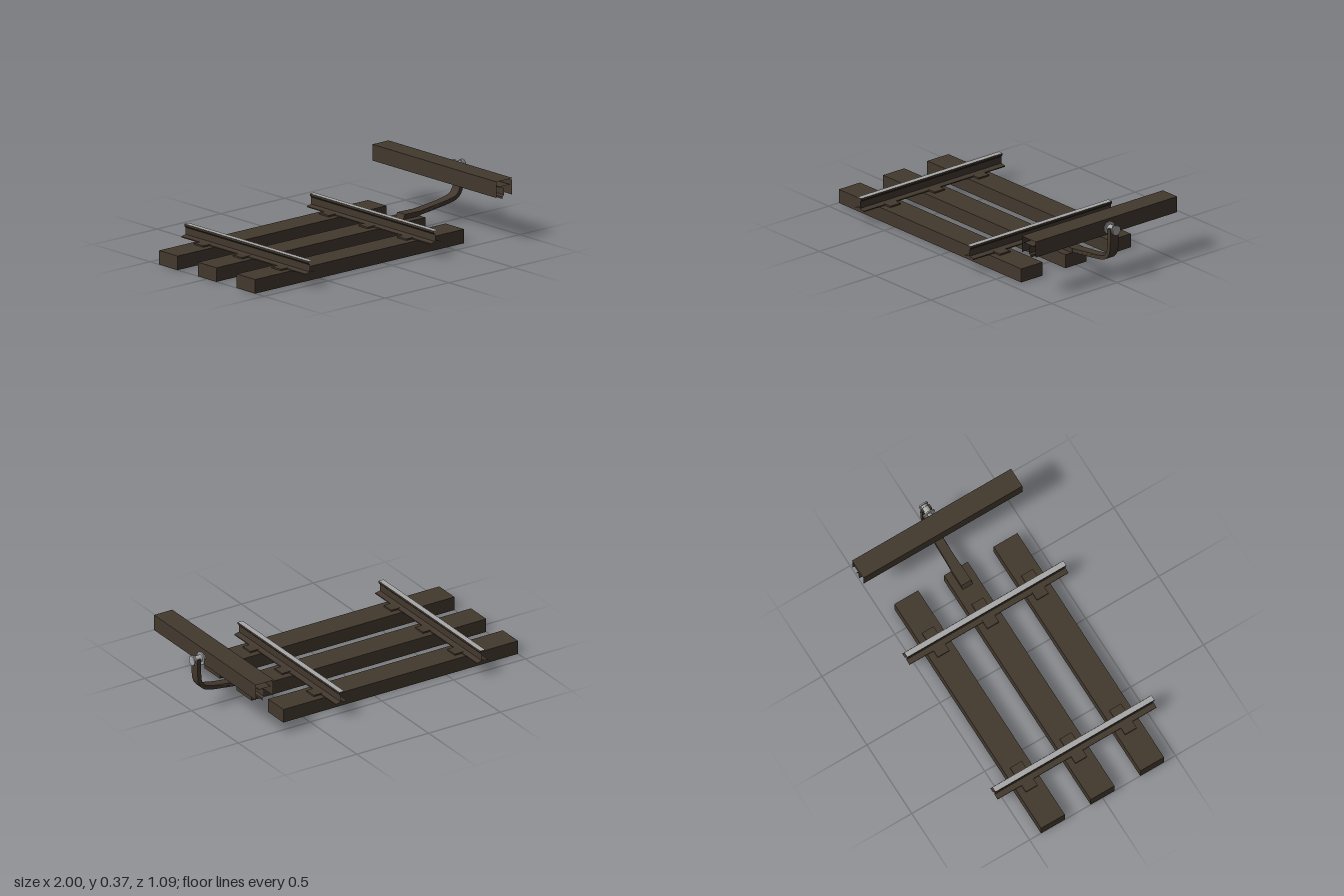
import * as THREE from 'three';

const timber = new THREE.MeshStandardMaterial({ color: 0x42382e });
timber.name = 'darkBrown';
const steel = new THREE.MeshStandardMaterial({ color: 0xa8a8a8 });
steel.name = 'wornSteel';

const HALF = 0.545; // half length of the rails and the cover

function add(parent, name, geometry, material, x = 0, y = 0, z = 0) {
  const mesh = new THREE.Mesh(geometry, material);
  mesh.name = name;
  mesh.position.set(x, y, z);
  parent.add(mesh);
  return mesh;
}

// Open-ended shell along z from an anticlockwise x-y profile
function shell(points, closed = true) {
  const pos = [];
  const n = points.length;
  for (let i = 0; i < (closed ? n : n - 1); i++) {
    const [ax, ay] = points[i];
    const [bx, by] = points[(i + 1) % n];
    pos.push(ax, ay, -HALF, bx, by, -HALF, bx, by, HALF);
    pos.push(ax, ay, -HALF, bx, by, HALF, ax, ay, HALF);
  }
  const g = new THREE.BufferGeometry();
  g.setAttribute('position', new THREE.Float32BufferAttribute(pos, 3));
  g.computeVertexNormals();
  return g;
}

// Rail standing on y = 0: dark foot, web and head sides, bright running face
function rail(name) {
  const group = new THREE.Group();
  group.name = name;
  const right = [[0.04, 0], [0.04, 0.006], [0.007, 0.013], [0.007, 0.055],
    [0.017, 0.066], [0.017, 0.078]];
  const left = right.map(([x, y]) => [-x, y]).reverse();
  // start at the right head corner's mirror so the top stays open
  add(group, 'railBody', shell([...left, ...right], false), timber);
  add(group, 'runningFace', shell([[0.017, 0.078], [-0.017, 0.078]], false), steel);
  return group;
}

// Curved bracket: side outline offset from a centre line, then waisted
function armGeometry() {
  const curve = new THREE.CatmullRomCurve3([
    [0.63, 0.1], [0.76, 0.114], [0.88, 0.131], [0.93, 0.148],
    [0.958, 0.185], [0.966, 0.24], [0.967, 0.335],
  ].map(([x, y]) => new THREE.Vector3(x, y, 0)));
  const upper = [], lower = [];
  const steps = 24;
  for (let i = 0; i <= steps; i++) {
    const p = curve.getPoint(i / steps);
    const t = curve.getTangent(i / steps);
    upper.push(new THREE.Vector2(p.x - t.y * 0.0125, p.y + t.x * 0.0125));
    lower.push(new THREE.Vector2(p.x + t.y * 0.0125, p.y - t.x * 0.0125));
  }
  const g = new THREE.ExtrudeGeometry(new THREE.Shape([...lower, ...upper.reverse()]),
    { depth: 0.064, bevelEnabled: false });
  g.translate(0, 0, -0.032);
  const pos = g.attributes.position;
  for (let i = 0; i < pos.count; i++) {
    const waist = Math.max(0, 1 - Math.abs(pos.getX(i) - 0.79) / 0.16);
    pos.setZ(i, pos.getZ(i) * (1 - 0.14 * waist));
  }
  g.computeVertexNormals();
  return g;
}

export function createModel() {
  const model = new THREE.Group();
  model.name = 'trackSection';
  const railX = [-0.675, 0.307];

  // Sleepers and the plates under each rail
  for (const z of [-0.34, 0, 0.34]) {
    add(model, 'sleeper', new THREE.BoxGeometry(1.635, 0.085, 0.163), timber, -0.1825, 0.0425, z);
    for (const x of railX)
      add(model, 'tiePlate', new THREE.BoxGeometry(0.176, 0.01, 0.08), timber, x, 0.089, z);
  }

  // Running rails
  for (const x of railX) {
    const r = rail('runningRail');
    r.position.set(x, 0.085, 0);
    model.add(r);
  }

  // Conductor rail, hung upside down under its cover
  const conductor = rail('conductorRail');
  conductor.rotation.z = Math.PI;
  conductor.position.set(0.843, 0.336, 0);
  model.add(conductor);

  // Open channel cover
  const w = 0.0635, t = 0.008;
  add(model, 'railCover', shell([
    [-w, 0.272], [-w + t, 0.272], [-w + t, 0.37 - t], [w - t, 0.37 - t],
    [w - t, 0.272], [w, 0.272], [w, 0.37], [-w, 0.37],
  ]), timber, 0.843);

  // Bracket foot on the middle sleeper, and its arm
  const foot = new THREE.Shape([[0.503, 0.085], [0.64, 0.085], [0.64, 0.113], [0.518, 0.115]]
    .map(([x, y]) => new THREE.Vector2(x, y)));
  add(model, 'bracketFoot', new THREE.ExtrudeGeometry(foot, { depth: 0.068, bevelEnabled: false }),
    timber, 0, 0, -0.034);
  add(model, 'bracketArm', armGeometry(), timber);

  // Insulator bolt: [name, x start, x end, radius, sides]
  const bolt = new THREE.Group();
  bolt.name = 'insulatorBolt';
  bolt.position.y = 0.326;
  model.add(bolt);
  for (const [name, x0, x1, r, sides] of [
    ['boltNut', 0.908, 0.93, 0.014, 6],
    ['innerFlange', 0.93, 0.937, 0.039, 24],
    ['boltShaft', 0.937, 0.99, 0.022, 20],
    ['outerFlange', 0.976, 0.982, 0.027, 24],
    ['boltHead', 0.992, 1.0, 0.03, 24],
  ]) {
    const g = new THREE.CylinderGeometry(r, r, x1 - x0, sides);
    g.rotateZ(-Math.PI / 2);
    add(bolt, name, g, steel, (x0 + x1) / 2);
  }
  return model;
}
